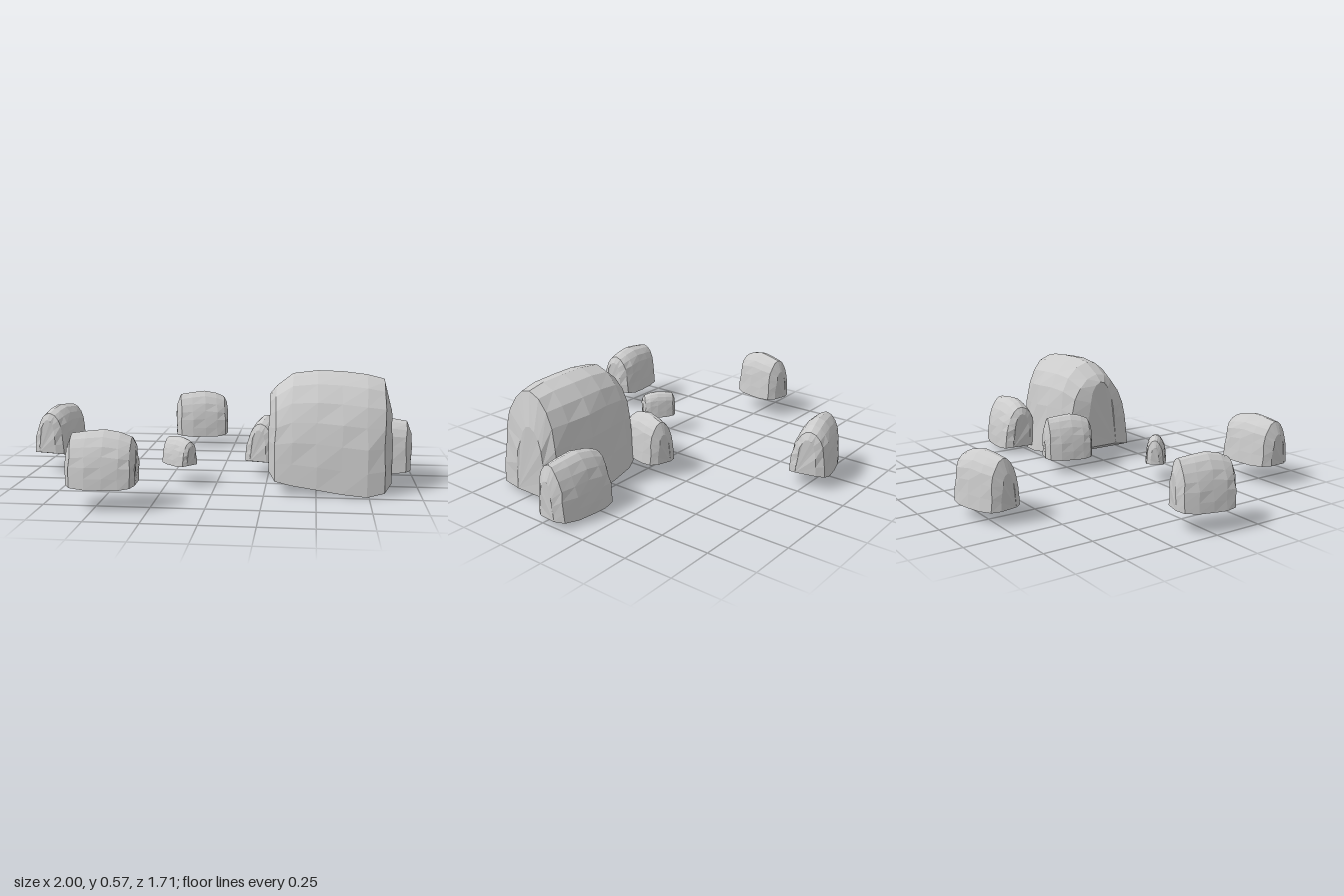
import * as THREE from 'three';

// Arch cross-section: [0 front .. 1 back, 0 base .. 1 top]
const ARCH = [
  [0, 0], [0.02, 0.2], [0.05, 0.4], [0.1, 0.58], [0.18, 0.75], [0.3, 0.9], [0.42, 0.98],
  [0.55, 1], [0.7, 0.95], [0.82, 0.84], [0.9, 0.7], [0.94, 0.5], [0.97, 0.25], [1, 0],
];

// Stations along the stone: [x, top, bottom, zFront, zBack]
const BOULDER = [
  [0.267, 0.46, 0.085, 0.35, 0.15],
  [0.3, 0.5, 0.062, 0.455, 0.05],
  [0.38, 0.56, 0.045, 0.465, 0.015],
  [0.5, 0.575, 0.03, 0.477, 0],
  [0.62, 0.572, 0.012, 0.48, 0],
  [0.74, 0.56, 0, 0.478, 0.025],
  [0.825, 0.54, 0.015, 0.45, 0.055],
  [0.868, 0.38, 0.03, 0.31, 0.11],
];
const STONE = [
  [-0.5, 0.68, 0.03, 0.22, -0.2],
  [-0.42, 0.93, 0.02, 0.42, -0.4],
  [-0.2, 0.97, 0, 0.49, -0.47],
  [0.05, 1, 0, 0.5, -0.5],
  [0.28, 0.95, 0, 0.49, -0.5],
  [0.44, 0.87, 0.03, 0.44, -0.44],
  [0.5, 0.74, 0.05, 0.26, -0.24],
];

// Lofts the arch through the stations and closes both ends and the base
function rockGeometry(stations, rough) {
  const n = ARCH.length;
  const positions = [];
  const index = [];
  stations.forEach(([x, top, bottom, front, back], i) => {
    ARCH.forEach(([t, v], j) => {
      const bump = rough * Math.sin(i * 2.3 + j * 1.7) * Math.sin(Math.PI * v);
      positions.push(
        x + bump,
        bottom + (top - bottom) * v,
        front + (back - front) * t + bump * Math.sign(0.5 - t),
      );
    });
  });
  for (let i = 0; i < stations.length - 1; i++) {
    for (let j = 0; j < n; j++) {
      const k = (j + 1) % n;
      const a = i * n + j, b = a + n, c = (i + 1) * n + k, d = i * n + k;
      index.push(a, b, c, a, c, d);
    }
  }
  const end = (stations.length - 1) * n;
  for (let j = 1; j < n - 1; j++) {
    index.push(0, j, j + 1, end, end + j + 1, end + j);
  }
  const geometry = new THREE.BufferGeometry();
  geometry.setAttribute('position', new THREE.Float32BufferAttribute(positions, 3));
  geometry.setIndex(index);
  geometry.computeVertexNormals();
  return geometry;
}

export function createModel() {
  const group = new THREE.Group();
  group.name = 'rocks';
  const material = new THREE.MeshStandardMaterial({ color: 0xcccccc, flatShading: true });

  const boulder = new THREE.Mesh(rockGeometry(BOULDER, 0.004), material);
  boulder.name = 'boulder';
  group.add(boulder);

  // Small stones: name, position, [length, height, width], yaw
  const stones = [
    ['leftStone', [0.83, 0.022, -0.04], [0.335, 0.285, 0.225], Math.PI - 0.08],
    ['innerStone', [0.24, 0.07, -0.005], [0.265, 0.24, 0.18], -1.87],
    ['rightStone', [-0.875, 0.098, 0.012], [0.29, 0.255, 0.2], -1.83],
    ['frontStone', [-0.47, 0.1, 0.745], [0.32, 0.255, 0.222], 0.03],
    ['backStone', [-0.205, 0.06, -0.73], [0.31, 0.268, 0.21], 0.2],
    ['pebble', [-0.188, 0.1, 0.287], [0.185, 0.14, 0.11], -0.72],
  ];
  const stoneGeometry = rockGeometry(STONE, 0.012);
  for (const [name, position, scale, yaw] of stones) {
    const stone = new THREE.Mesh(stoneGeometry, material);
    stone.name = name;
    stone.position.set(...position);
    stone.scale.set(...scale);
    stone.rotation.y = yaw;
    group.add(stone);
  }
  return group;
}
